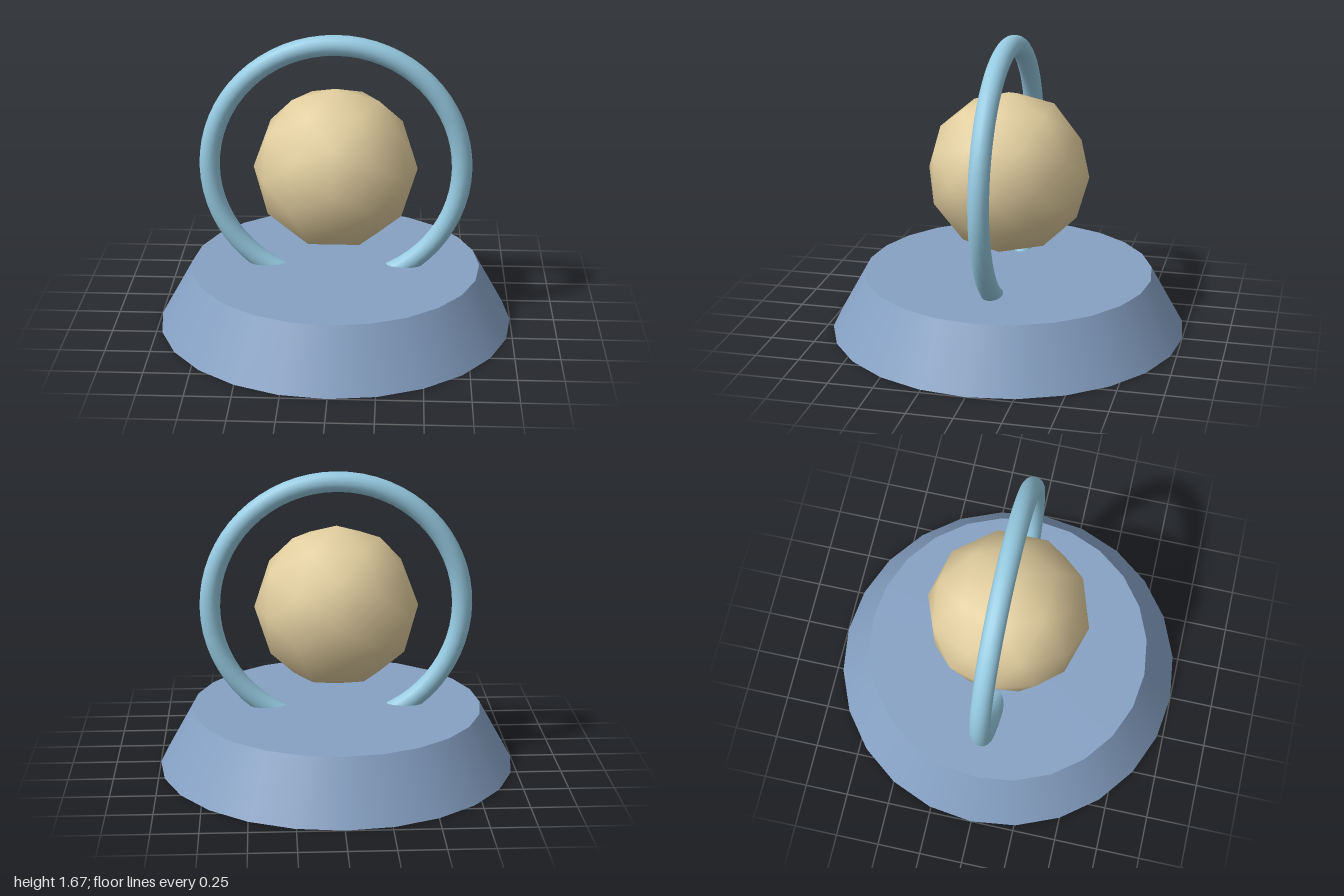
import * as THREE from 'three';

const material = (name, color) => {
  const m = new THREE.MeshStandardMaterial({ color });
  m.name = name;
  return m;
};

export function createModel() {
  const model = new THREE.Group();
  model.name = 'ringedOrbOnBase';

  const add = (name, geometry, mat, y) => {
    const mesh = new THREE.Mesh(geometry, mat);
    mesh.name = name;
    mesh.position.y = y;
    model.add(mesh);
  };

  const baseHeight = 0.333;
  const orbY = 0.912;

  // Tapered round base
  add('base', new THREE.CylinderGeometry(0.815, 1, baseHeight, 24),
    material('slateBlue', 0x86a1c4), baseHeight / 2);

  // Smooth-shaded faceted orb floating above the base
  add('orb', new THREE.IcosahedronGeometry(0.457, 1),
    material('sand', 0xe2ce9f), orbY);

  // Upright ring around the orb, its lower part sunk into the base
  add('ring', new THREE.TorusGeometry(0.703, 0.057, 16, 64),
    material('paleBlue', 0x96cae1), orbY);

  return model;
}
